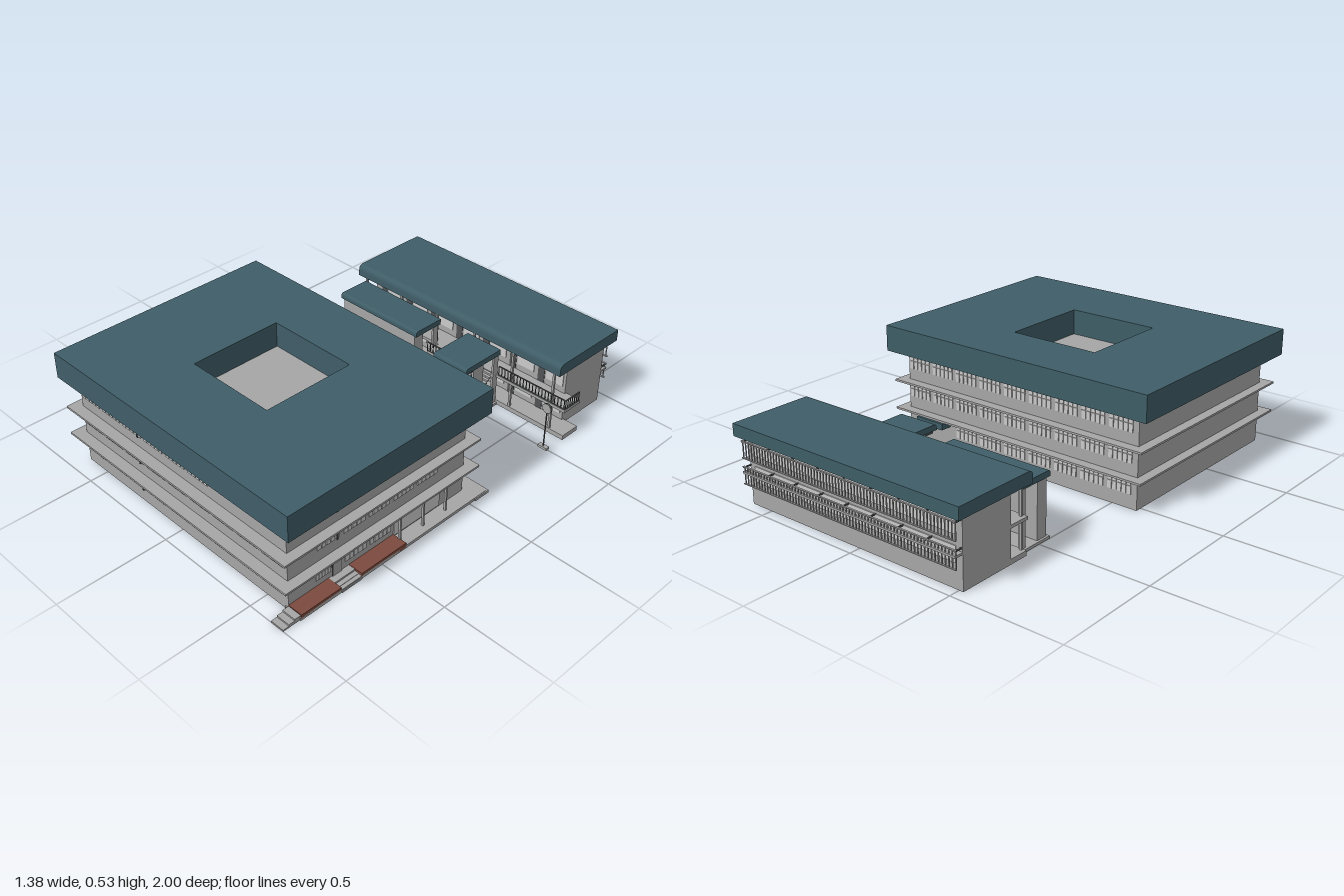
import * as THREE from 'three';
import { mergeGeometries } from 'three/addons/utils/BufferGeometryUtils.js';

const make = (name, color) => {
  const m = new THREE.MeshStandardMaterial({ color });
  m.name = name;
  return m;
};

// Box geometry from its limits
function slab(x0, x1, y0, y1, z0, z1) {
  return new THREE.BoxGeometry(x1 - x0, y1 - y0, z1 - z0)
    .translate((x0 + x1) / 2, (y0 + y1) / 2, (z0 + z1) / 2);
}

// Roof with a rounded front edge, extruded along x
function roundedRoof(x0, x1, y0, y1, zBack, zFront, r) {
  const s = new THREE.Shape();
  s.moveTo(-zFront, y0);
  s.lineTo(-zBack, y0);
  s.lineTo(-zBack, y1);
  s.lineTo(-zFront + r, y1);
  s.quadraticCurveTo(-zFront, y1, -zFront, y1 - r);
  s.closePath();
  return new THREE.ExtrudeGeometry(s, { depth: x1 - x0, bevelEnabled: false, curveSegments: 6 })
    .rotateY(Math.PI / 2).translate(x0, 0, 0);
}

// Groups of five divided panes on a wall lying in the local xy plane
function windowRow(u0, count, y0, pitch = 0.1355, h = 0.058) {
  const list = [];
  for (let g = 0; g < count; g++) {
    for (let i = 0; i < 5; i++) {
      const u = u0 + g * pitch + i * pitch * 0.172;
      const w = pitch * 0.145;
      list.push(slab(u, u + w, y0, y0 + h * 0.62, -0.004, 0.004));
      list.push(slab(u, u + w, y0 + h * 0.67, y0 + h, -0.004, 0.004));
    }
  }
  return mergeGeometries(list);
}

// Row of upright bars with a top and a bottom rail, along x
function barsX(x0, x1, y0, y1, z, step, t) {
  const list = [slab(x0, x1, y1 - t, y1, z - t, z + t), slab(x0, x1, y0, y0 + t, z - t, z + t)];
  for (let x = x0; x <= x1; x += step) list.push(slab(x - t / 2, x + t / 2, y0, y1, z - t / 2, z + t / 2));
  return mergeGeometries(list);
}

export function createModel() {
  const concrete = make('concrete grey', 0xa6a6a6);
  const teal = make('teal roof', 0x3f5d67);
  const pane = make('pale window', 0xcacaca);
  const brick = make('brick red', 0x7c4a3e);
  const dark = make('dark metal', 0x505254);

  const root = new THREE.Group();
  const group = name => {
    const g = new THREE.Group();
    g.name = name;
    root.add(g);
    return g;
  };
  const add = (parent, name, mat, geo) => {
    const m = new THREE.Mesh(geo, mat);
    m.name = name;
    parent.add(m);
    return m;
  };

  // ---- Main block ----
  const main = group('mainBlock');
  add(main, 'walls', concrete, slab(-0.62, 0.615, 0, 0.405, -0.03, 0.915));
  for (const y of [0.135, 0.268]) add(main, 'sunshadeLedge', concrete, slab(-0.663, 0.66, y, y + 0.009, -0.075, 0.965));

  // Thick flat roof with a square opening
  const roof = new THREE.Shape([[-0.69, -0.97], [0.69, -0.97], [0.69, 0.09], [-0.69, 0.09]].map(p => new THREE.Vector2(...p)));
  roof.holes.push(new THREE.Path([[-0.24, -0.62], [-0.24, -0.19], [0.19, -0.19], [0.19, -0.62]].map(p => new THREE.Vector2(...p))));
  add(main, 'roof', teal, new THREE.ExtrudeGeometry(roof, { depth: 0.117, bevelEnabled: false })
    .rotateX(-Math.PI / 2).translate(0, 0.409, 0));
  add(main, 'roofCore', concrete, slab(-0.3, 0.25, 0.4, 0.411, 0.13, 0.68));

  // Windows of the front, back and right walls
  const rows = [0.064, 0.198, 0.329];
  rows.forEach((y, i) => {
    add(main, 'frontWindows', pane, windowRow(-0.605, i === 2 ? 6 : 9, y)).position.z = 0.915;
    const back = add(main, 'backWindows', pane, windowRow(i ? -0.605 : -0.335, i ? 9 : 7, y));
    back.rotation.y = Math.PI;
    back.position.z = -0.03;
    const side = add(main, 'sideWindows', pane, i ? windowRow(-0.77, 5, y, 0.132) : windowRow(-0.63, 2, 0.055, 0.132));
    side.rotation.y = Math.PI / 2;
    side.position.x = 0.615;
    add(main, 'frontDrainPipe', dark, slab(-0.243, -0.236, y - 0.004, y + 0.06, 0.913, 0.922));
    if (i) add(main, 'sideDrainPipe', dark, slab(0.613, 0.622, y - 0.004, y + 0.06, 0.668, 0.675));
  });
  const corner = add(main, 'cornerWindow', pane, windowRow(-0.78, 1, 0.055, 0.09));
  corner.rotation.y = Math.PI / 2;
  corner.position.x = 0.615;

  // Entrance side: door, glazed porch and posts
  add(main, 'doorFrame', dark, slab(0.611, 0.617, 0.02, 0.134, 0.648, 0.698));
  add(main, 'door', concrete, slab(0.612, 0.619, 0.02, 0.13, 0.652, 0.694));
  add(main, 'porchWall', pane, slab(0.611, 0.618, 0.02, 0.133, 0.11, 0.37));
  for (const z of [0.11, 0.24, 0.37]) add(main, 'porchPost', concrete, slab(0.645, 0.655, 0.015, 0.136, z - 0.004, z + 0.004));
  add(main, 'backAwning', teal, slab(0.375, 0.525, 0.105, 0.134, -0.085, -0.03));

  // Entrance platform, brick edging and steps
  add(main, 'platform', concrete, slab(0.6, 0.685, 0, 0.014, -0.1, 0.92));
  add(main, 'backPavement', concrete, slab(0.2, 0.69, 0, 0.012, -0.11, -0.03));
  for (const [a, b] of [[0.37, 0.61], [0.715, 0.915]]) add(main, 'brickEdging', brick, slab(0.615, 0.685, 0.004, 0.026, a, b));
  for (let i = 0; i < 3; i++) {
    add(main, 'cornerStep', concrete, slab(0.615, 0.68, 0, 0.007 * (i + 1), 0.91, 1 - i * 0.028));
    add(main, 'entranceStep', concrete, slab(0.615, 0.688 - i * 0.02, 0, 0.008 * (i + 1), 0.61, 0.715));
  }

  // ---- Rear block ----
  const rear = group('rearBlock');
  const X0 = -0.52, X1 = 0.61;
  add(rear, 'backWall', concrete, slab(X0, X1, 0, 0.3, -0.95, -0.94));
  add(rear, 'galleryWall', concrete, slab(X0, X1, 0, 0.3, -0.7, -0.69));
  for (const x of [X0, X1 - 0.01]) add(rear, 'endWall', concrete, slab(x, x + 0.01, 0, 0.3, -0.95, -0.69));
  add(rear, 'middleFloor', concrete, slab(X0, X1, 0.14, 0.152, -0.95, -0.69));
  add(rear, 'rearRoof', teal, roundedRoof(-0.55, 0.637, 0.304, 0.358, -1, -0.6, 0.028));

  // Doors and windows along the gallery
  for (const y of [0.02, 0.162]) {
    for (let i = 0; i < 7; i++) {
      const x = X0 + 0.04 + i * 0.157;
      add(rear, 'galleryDoor', dark, slab(x, x + 0.035, y, y + 0.095, -0.6995, -0.6875));
      add(rear, 'galleryWindow', pane, slab(x + 0.045, x + 0.135, y + 0.03, y + 0.105, -0.7025, -0.6865));
    }
  }

  // Gallery floor, base, posts and railings
  add(rear, 'galleryFloor', concrete, slab(X0, 0.685, 0.146, 0.16, -0.7, -0.592));
  add(rear, 'basePlatform', concrete, slab(X0, 0.685, 0, 0.022, -0.7, -0.6));
  add(rear, 'frontPavement', concrete, slab(-0.5, 0.32, 0, 0.012, -0.6, -0.435));
  add(rear, 'landing', concrete, slab(-0.03, 0.13, 0.146, 0.16, -0.6, -0.515));
  add(rear, 'galleryRailing', dark, barsX(0.32, 0.683, 0.16, 0.207, -0.597, 0.017, 0.003));
  add(rear, 'landingRailing', dark, barsX(-0.03, 0.13, 0.16, 0.207, -0.518, 0.017, 0.003));
  const endRail = add(rear, 'endRailing', dark, barsX(-0.045, 0.045, 0.16, 0.207, 0, 0.015, 0.003));
  endRail.rotation.y = Math.PI / 2;
  endRail.position.set(0.682, 0, -0.646);
  for (let i = 0; i < 6; i++) {
    const x = X0 + 0.02 + i * 0.221;
    add(rear, 'galleryPost', concrete, slab(x - 0.005, x + 0.005, 0.02, 0.304, -0.612, -0.602));
  }

  // Louvred back: two bands of windows behind upright fins
  for (const [a, b] of [[0.1, 0.178], [0.212, 0.288]]) {
    add(rear, 'backGlazing', pane, slab(X0 + 0.03, X1 - 0.03, a + 0.005, b - 0.005, -0.954, -0.946));
    add(rear, 'louvreFins', concrete, barsX(X0, X1, a, b, -0.985, 0.0165, 0.004));
    for (let i = 0; i <= 8; i++) {
      const x = X0 + 0.004 + i * (X1 - X0 - 0.008) / 8;
      add(rear, 'louvreBracket', dark, slab(x - 0.003, x + 0.003, b - 0.008, b - 0.003, -0.988, -0.95));
    }
  }
  add(rear, 'backLedge', concrete, slab(X0, X1, 0.147, 0.156, -0.99, -0.95));

  // ---- Front wings of the rear block ----
  const wings = group('frontWings');
  add(wings, 'longWingRoof', teal, roundedRoof(-0.505, -0.03, 0.264, 0.29, -0.6, -0.44, 0.015));
  add(wings, 'longWingBody', concrete, slab(-0.49, -0.045, 0, 0.265, -0.5, -0.445));
  add(wings, 'stairRoof', teal, roundedRoof(0.13, 0.318, 0.264, 0.29, -0.6, -0.377, 0.015));
  for (const x of [0.14, 0.3]) {
    add(wings, 'stairSideWall', concrete, slab(x, x + 0.01, 0, 0.265, -0.5, -0.435));
    add(wings, 'stairPost', concrete, slab(x, x + 0.01, 0, 0.265, -0.6, -0.57));
    add(wings, 'canopyBracket', dark, slab(x, x + 0.008, 0.25, 0.265, -0.435, -0.39));
  }
  for (const x of [-0.49, -0.27, -0.055]) add(wings, 'longWingPost', concrete, slab(x, x + 0.01, 0, 0.265, -0.6, -0.57));

  // Two stair flights that meet at a half landing
  for (let i = 0; i < 8; i++) {
    const z = -0.585 + i * 0.013, y = 0.012 + i * 0.009;
    add(wings, 'lowerStep', concrete, slab(0.15, 0.222, y, y + 0.01, z, z + 0.014));
    add(wings, 'upperStep', concrete, slab(0.228, 0.3, 0.155 - i * 0.009, 0.163 - i * 0.009, z, z + 0.014));
  }
  add(wings, 'halfLanding', concrete, slab(0.15, 0.3, 0.08, 0.09, -0.482, -0.436));
  for (const [x, tilt, y] of [[0.22, -0.6, 0.09], [0.232, 0.6, 0.165]]) {
    const rail = add(wings, 'stairRail', dark, slab(-0.002, 0.002, -0.003, 0.003, -0.06, 0.06));
    rail.rotation.x = tilt;
    rail.position.set(x, y, -0.54);
  }

  // ---- Round sign on a post ----
  const sign = group('roundSign');
  add(sign, 'signBase', concrete, slab(0.638, 0.685, 0, 0.012, -0.51, -0.49));
  add(sign, 'signPost', dark, new THREE.CylinderGeometry(0.003, 0.003, 0.19, 8).translate(0.661, 0.1, -0.5));
  add(sign, 'signRim', dark, new THREE.CylinderGeometry(0.023, 0.023, 0.008, 24).rotateX(Math.PI / 2).translate(0.661, 0.207, -0.5));
  add(sign, 'signFace', concrete, new THREE.CylinderGeometry(0.021, 0.021, 0.0095, 24).rotateX(Math.PI / 2).translate(0.661, 0.207, -0.5));

  return root;
}
